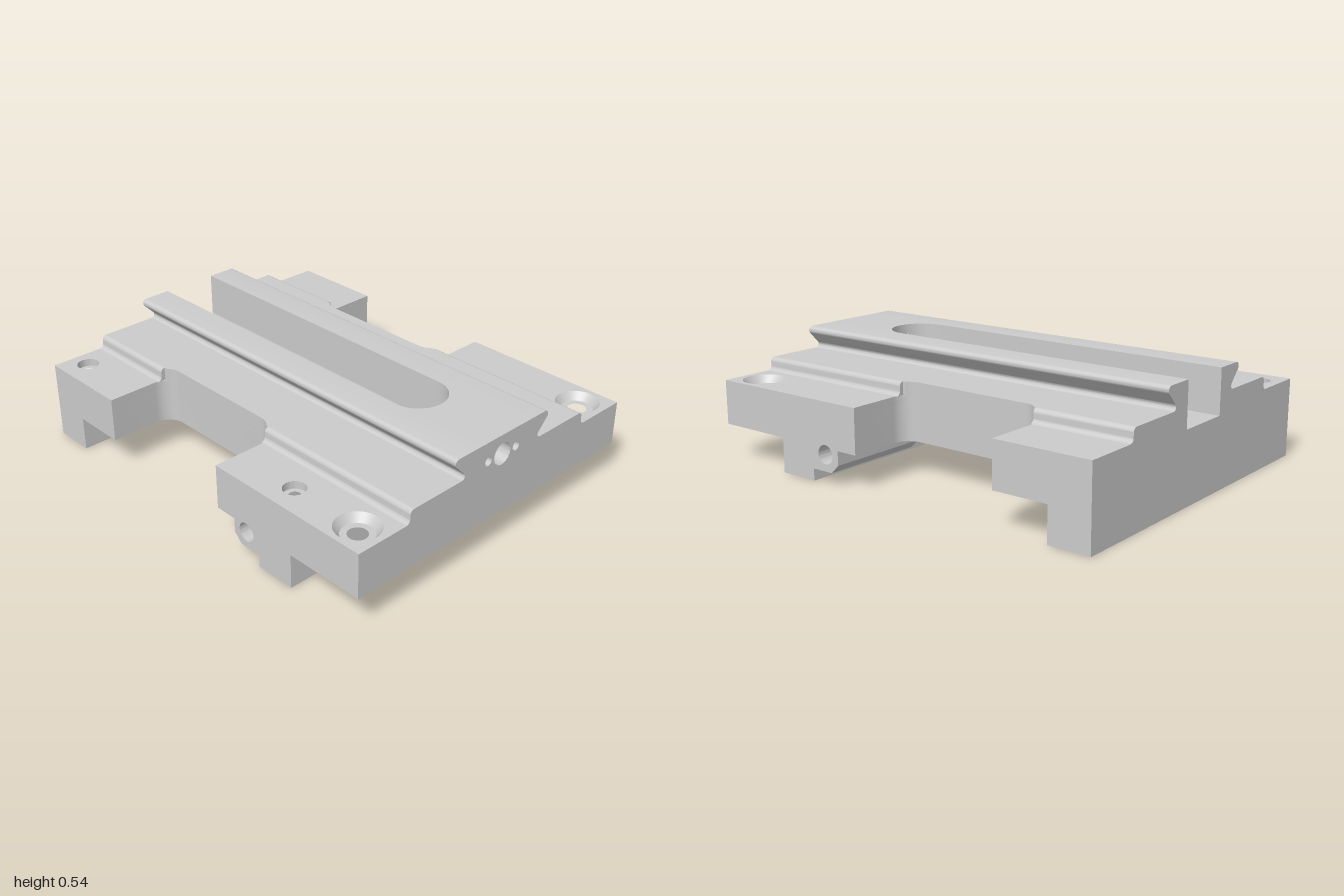
import * as THREE from 'three';
import { toCreasedNormals } from 'three/addons/utils/BufferGeometryUtils.js';

const FLOOR = 0.33, UNDER = 0.16, SHOULDER = 0.365, STEP = 0.425, TOP = 0.535;
const SLOT = 0.135, SLOT_Z = 0.535;

export function createModel() {
  const model = new THREE.Group();
  const material = new THREE.MeshStandardMaterial({ color: 0xcccccc });
  const open = new THREE.MeshStandardMaterial({ color: 0xcccccc, side: THREE.DoubleSide });

  // points [a, b] and round holes [a, b, r] to a shape; flip mirrors an axis
  const makeShape = (pts, holes = [], fa = 1, fb = 1) => {
    const shape = new THREE.Shape(pts.map(([a, b]) => new THREE.Vector2(a * fa, b * fb)));
    for (const [a, b, r] of holes)
      shape.holes.push(new THREE.Path().absarc(a * fa, b * fb, r, 0, Math.PI * 2, true));
    return shape;
  };
  const extrude = (shape, from, to) => {
    const g = new THREE.ExtrudeGeometry(shape, { depth: to - from, bevelEnabled: false, curveSegments: 20 });
    return g.translate(0, 0, from);
  };
  const add = (name, geometry, mat = material) => {
    const mesh = new THREE.Mesh(toCreasedNormals(geometry, 0.5), mat);
    mesh.name = name;
    model.add(mesh);
  };
  // extrusions along each axis: plan (x, z), side profile (z, y), front profile (x, y)
  const alongY = (name, pts, y0, y1, holes) =>
    add(name, extrude(makeShape(pts, holes, 1, -1), y0, y1).rotateX(-Math.PI / 2));
  const alongX = (name, pts, x0, x1, holes) =>
    add(name, extrude(makeShape(pts, holes, -1, 1), x0, x1).rotateY(Math.PI / 2));
  const alongZ = (name, pts, z0, z1, holes) => add(name, extrude(makeShape(pts, holes), z0, z1));

  const arc = (cx, cy, r, a0, a1, n = 10) => Array.from({ length: n + 1 }, (_, i) => {
    const a = a0 + (a1 - a0) * i / n;
    return [cx + r * Math.cos(a), cy + r * Math.sin(a)];
  });
  const mirror = (pts, s) => pts.map(([x, y]) => [x * s, y]);
  const rect = (x0, x1, z0, z1) => [[x0, z0], [x1, z0], [x1, z1], [x0, z1]];

  // outer edge of the plan with the round-cornered side notch
  const notchedEdge = (xo, zEnd) => {
    const a = Math.acos(Math.min(0, (xo - 0.565) / 0.08));
    const wide = xo > 0.6;
    return [
      [xo, -1], ...(wide ? [[xo, -0.545]] : []),
      ...arc(0.565, -0.465, 0.08, -a, -Math.PI),
      ...arc(0.565, 0.105, 0.08, Math.PI, a),
      ...(wide ? [[xo, 0.185]] : []), [xo, zEnd],
    ];
  };

  // base plate: rear part, front part
  const edge = notchedEdge(0.8, 0.25);
  alongY('rearPlate', [...edge, ...mirror(edge, -1).reverse()], UNDER, FLOOR,
    [[0, -0.715, 0.085], [-0.68, -0.905, 0.028]]);
  alongY('frontPlate', rect(-0.8, 0.8, 0.44, 1), UNDER, FLOOR,
    [[-0.68, 0.525, 0.028], [-0.68, 0.875, 0.042], [0.68, 0.875, 0.042]]);

  // feet
  alongY('rearFoot', rect(-0.8, 0.8, -1, -0.805), 0, UNDER, [[-0.68, -0.905, 0.028]]);
  alongY('frontFoot', rect(-0.8, 0.8, 0.44, 0.63), 0, UNDER, [[-0.68, 0.525, 0.028]]);

  // cross-drilled lugs at both ends, with a shallow groove between them
  const lug = [[0.25, FLOOR], [0.44, FLOOR], [0.44, 0.055], [0.33, 0.055], [0.29, 0.095],
    [0.29, UNDER], [0.25, UNDER]];
  alongX('rightLug', lug, 0.3, 0.8, [[0.365, 0.13, 0.043]]);
  alongX('leftLug', lug, -0.8, -0.3, [[0.365, 0.13, 0.043]]);
  const g = Math.asin(0.03 / 0.043);
  alongX('grooveBeam', [[0.25, FLOOR], [0.44, FLOOR], [0.44, UNDER],
    ...arc(0.365, 0.13, 0.043, g, Math.PI - g), [0.25, UNDER]], -0.3, 0.3);

  for (const s of [1, -1]) {
    // shoulder and raised step beside the slot
    const bores = [[0.68 * s, 0.875, 0.097]];
    if (s < 0) bores.push([-0.68, -0.905, 0.05], [-0.68, 0.525, 0.05]);
    const inner = [[SLOT, 1], [SLOT, -1]];
    alongY('shoulder', mirror([...notchedEdge(0.8, 1), ...inner], s), FLOOR, SHOULDER, bores);
    alongY('step', mirror([...notchedEdge(0.51, 1), ...inner], s), SHOULDER, STEP);

    // rounded step edge, interrupted by the notch
    const lip = mirror([[0.51, SHOULDER], [0.51, STEP],
      ...arc(0.51, 0.405, 0.02, Math.PI / 2, 0, 6),
      ...arc(0.55, 0.385, 0.02, Math.PI, Math.PI * 1.5, 6)], s);
    alongZ('stepEdge', lip, -1, -0.537);
    alongZ('stepEdge', lip, 0.177, 1);

    // dovetail rail
    const rail = mirror([[SLOT, STEP], [SLOT, TOP],
      ...arc(0.265, 0.516, 0.019, Math.PI / 2, -Math.PI / 4, 8),
      ...arc(0.241, 0.441, 0.016, Math.PI * 0.75, Math.PI * 1.5, 8)], s);
    alongZ('dovetailRail', rail, -1, 1);

    // rounded slot end, in bands that leave the front bores open
    const bands = [[FLOOR, 0.395, 0], [0.395, 0.425, 0.05], [0.425, 0.465, 0.105],
      [0.465, 0.495, 0.05], [0.495, TOP, 0]];
    for (const [y0, y1, x] of bands) {
      const curve = arc(0, SLOT_Z, SLOT, 0, Math.acos(x / SLOT), 16);
      alongY('slotEnd', mirror([...curve, ...(x ? [[x, 0.67]] : []), [SLOT, 0.67]], s), y0, y1);
    }

    // countersink of the mounting hole
    add('countersink', new THREE.LatheGeometry(
      [new THREE.Vector2(0.07, FLOOR), new THREE.Vector2(0.097, SHOULDER)], 40)
      .translate(0.68 * s, 0, 0.875), open);
  }

  // front wall of the slot with three bores
  alongZ('slotFrontWall', rect(-SLOT, SLOT, FLOOR, TOP), 0.67, 1,
    [[0, 0.445, 0.05], [0.085, 0.445, 0.02], [-0.085, 0.445, 0.02]]);

  // countersunk liner of the hole in the slot floor
  const liner = [[0.085, UNDER], [0.062, UNDER], [0.062, 0.3], [0.085, FLOOR]];
  add('slotHoleLiner', new THREE.LatheGeometry(liner.map(p => new THREE.Vector2(...p)), 40)
    .translate(0, 0, -0.715), open);

  return model;
}
